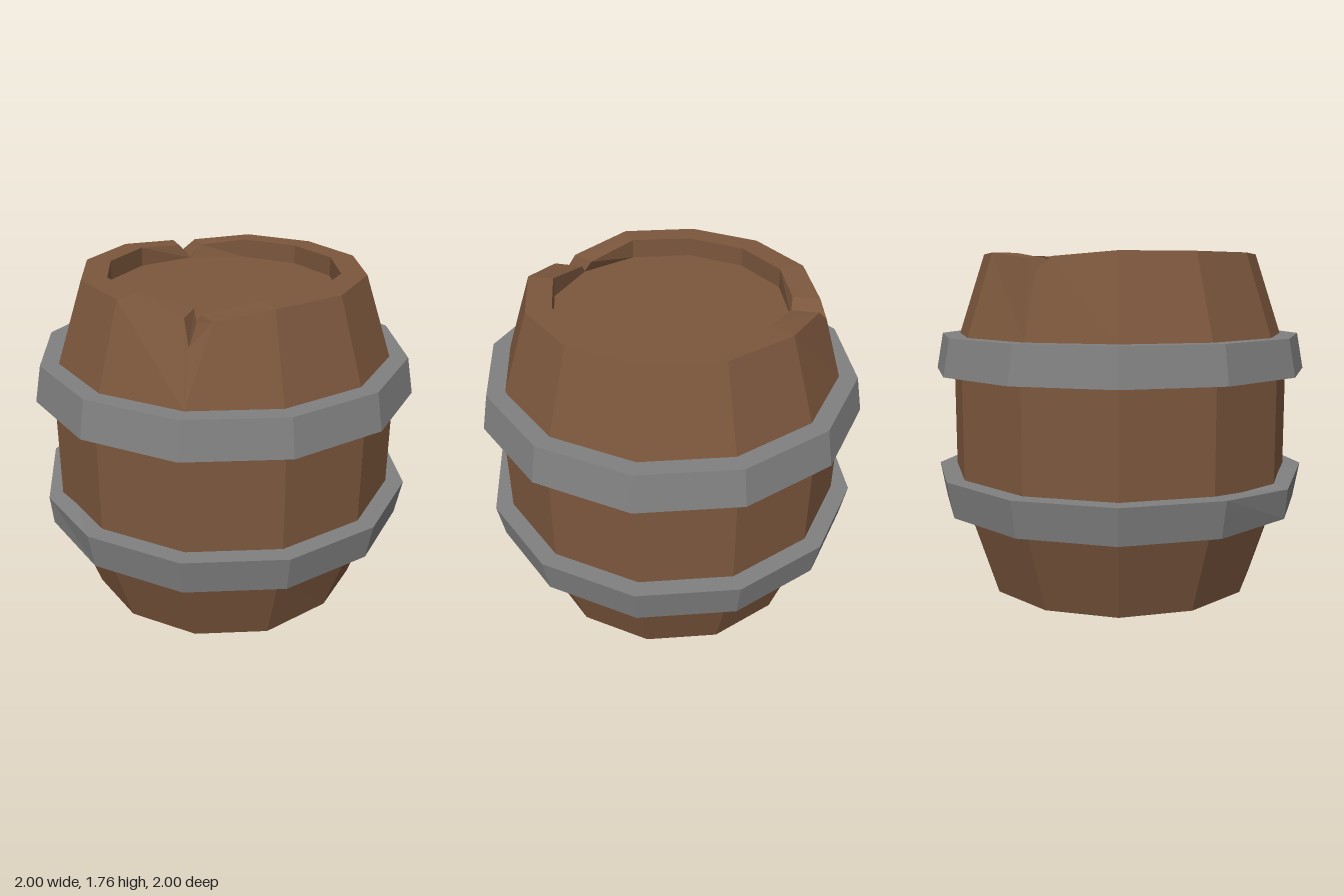
import * as THREE from 'three';

const SIDES = 12;
const wood = new THREE.MeshStandardMaterial({ color: 0x7c573d, flatShading: true });
const iron = new THREE.MeshStandardMaterial({ color: 0x808080, flatShading: true });

// One column of points: a [radius, height] profile turned to side k,
// with some points replaced by explicit positions.
function column(profile, k, overrides = {}) {
  const a = (k / SIDES) * Math.PI * 2;
  return profile.map(([r, y], j) => overrides[j] ?? [r * Math.cos(a), y, r * Math.sin(a)]);
}

// Skin neighbouring columns all the way round.
function skin(name, columns, material) {
  const pos = [];
  columns.forEach((p, i) => {
    const q = columns[(i + 1) % columns.length];
    for (let j = 0; j < p.length - 1; j++) {
      addTriangle(pos, p[j], p[j + 1], q[j + 1]);
      addTriangle(pos, p[j], q[j + 1], q[j]);
    }
  });
  const geometry = new THREE.BufferGeometry();
  geometry.setAttribute('position', new THREE.Float32BufferAttribute(pos, 3));
  geometry.computeVertexNormals();
  const mesh = new THREE.Mesh(geometry, material);
  mesh.name = name;
  return mesh;
}

// Skip triangles that collapse to a line.
function addTriangle(pos, a, b, c) {
  const [u, v, w] = [a, b, c].map((p) => new THREE.Vector3(...p));
  if (new THREE.Triangle(u, v, w).getArea() > 1e-6) pos.push(...a, ...b, ...c);
}

function createBody() {
  // Recessed bottom, bulging wall, rim and recessed lid
  const profile = [
    [0, 0.09], [0.6, 0.09], [0.6, 0], [0.73, 0],
    [0.87, 0.42], [0.905, 0.53], [0.905, 1.23], [0.87, 1.34],
    [0.73, 1.76], [0.6, 1.76], [0.6, 1.66], [0, 1.66],
  ];
  const OUT = 8, IN = 9;
  const chips = {
    // worn lower corner
    2: [{ 3: [0.365, 0.02, 0.632] }],
    // split at the front of the rim
    4: [
      { [OUT]: [-0.27, 1.71, 0.67], [IN]: [-0.28, 1.7, 0.525] },
      { [OUT]: [-0.38, 1.6, 0.66], [IN]: [-0.3, 1.665, 0.52] },
      { [OUT]: [-0.38, 1.715, 0.59], [IN]: [-0.3, 1.72, 0.48] },
    ],
    // notch at the back of the rim
    9: [
      { [OUT]: [-0.06, 1.735, -0.735], [IN]: [-0.06, 1.735, -0.6] },
      { [OUT]: [0, 1.66, -0.775], [IN]: [0, 1.665, -0.6] },
      { [OUT]: [0.07, 1.73, -0.735], [IN]: [0.07, 1.73, -0.6] },
    ],
  };
  const columns = [];
  for (let k = 0; k < SIDES; k++) {
    for (const o of chips[k] ?? [{}]) columns.push(column(profile, k, o));
  }
  return skin('barrelBody', columns, wood);
}

// Tapered iron band, optionally dented on one side
function createHoop(name, y0, r0, y1, r1, dents = {}) {
  const profile = [[0.85, y0], [r0, y0], [r1, y1], [0.85, y1]];
  const columns = Array.from({ length: SIDES }, (_, k) => column(profile, k, dents[k]));
  return skin(name, columns, iron);
}

export function createModel() {
  const barrel = new THREE.Group();
  barrel.name = 'barrel';
  barrel.add(
    createBody(),
    createHoop('upperHoop', 1.15, 1, 1.34, 0.965),
    createHoop('lowerHoop', 0.43, 0.965, 0.62, 1, { 6: { 2: [-0.98, 0.585, 0] } }),
  );
  return barrel;
}
